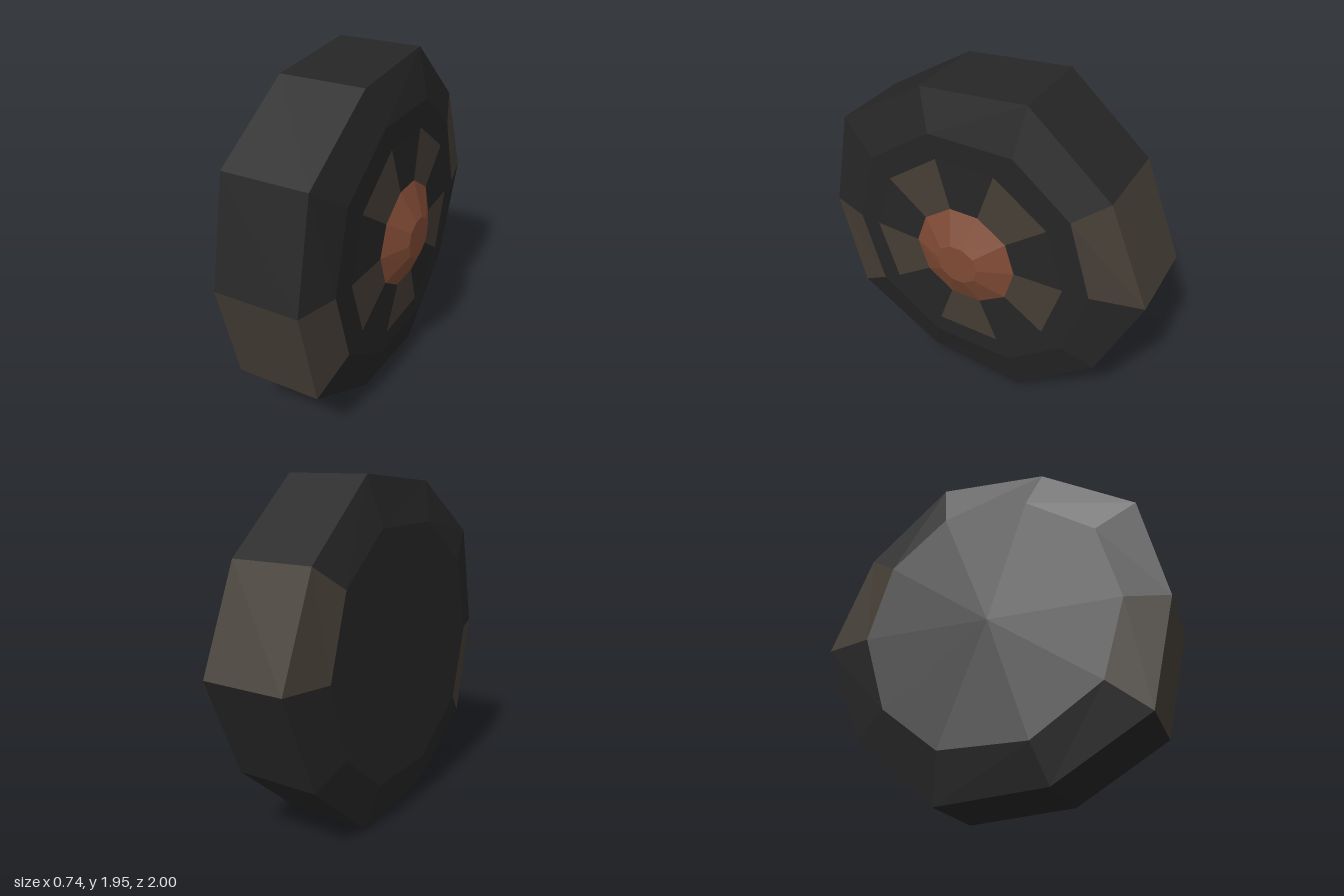
import * as THREE from 'three';

const mat = (name, color) => new THREE.MeshStandardMaterial({ name, color, flatShading: true, side: THREE.DoubleSide });

// Each outline lists [z, y] corners, running clockwise as seen from the hub side (+x).
const TREAD = [[0.33, 1.905], [-0.29, 1.955], [-0.76, 1.55], [-1, 0.98], [-0.76, 0.41],
  [-0.29, 0.003], [0.33, 0.055], [0.86, 0.377], [1, 0.98], [0.86, 1.583]];
const SIDE = [[0.25, 1.685], [-0.25, 1.685], [-0.58, 1.42], [-0.715, 0.98], [-0.58, 0.54],
  [-0.25, 0.275], [0.25, 0.275], [0.64, 0.54], [0.765, 0.98], [0.64, 1.42]];
const RIM = [[0.2, 1.555], [-0.15, 1.555], [-0.46, 1.33], [-0.57, 0.98], [-0.46, 0.62],
  [-0.17, 0.41], [0.22, 0.41], [0.515, 0.62], [0.63, 0.98], [0.515, 1.33]];
const CAP = [[0.11, 1.275], [-0.06, 1.275], [-0.23, 1.16], [-0.285, 0.98], [-0.23, 0.79],
  [-0.065, 0.685], [0.12, 0.685], [0.275, 0.79], [0.34, 0.98], [0.275, 1.16]];
const TIP = [[0.065, 1.09], [-0.01, 1.09], [-0.075, 1.05], [-0.095, 0.98], [-0.075, 0.905],
  [-0.01, 0.86], [0.065, 0.86], [0.13, 0.905], [0.15, 0.98], [0.13, 1.05]];

const ring = (outline, x) => outline.map(([z, y]) => [x, y, z]);
const point = (x, y, z) => Array.from({ length: 10 }, () => [x, y, z]);

// Flat facets between successive rings (ordered from +x to -x), keeping only the chosen segments.
function shell(name, material, rings, keep = () => true) {
  const pos = [];
  for (let r = 0; r < rings.length - 1; r++) {
    const a = rings[r], b = rings[r + 1];
    for (let i = 0; i < 10; i++) {
      if (!keep(i)) continue;
      const j = (i + 1) % 10;
      if (a[i] !== a[j] && String(a[i]) !== String(a[j])) pos.push(...a[i], ...a[j], ...b[j]);
      if (String(b[i]) !== String(b[j])) pos.push(...a[i], ...b[j], ...b[i]);
    }
  }
  const geo = new THREE.BufferGeometry();
  geo.setAttribute('position', new THREE.Float32BufferAttribute(pos, 3));
  geo.computeVertexNormals();
  const mesh = new THREE.Mesh(geo, material);
  mesh.name = name;
  return mesh;
}

export function createModel() {
  const rubber = mat('blackRubber', 0x262626);
  const mud = mat('dustyBrown', 0x453d35);
  const rust = mat('rustRed', 0x7f4a34);
  const group = new THREE.Group();
  group.name = 'wheel';

  // Tyre: bevelled ten-sided drum with two brown patches
  const tyre = [ring(SIDE, 0.26), ring(TREAD, 0.19), ring(TREAD, -0.3), ring(SIDE, -0.37)];
  const isPatch = (i) => i === 2 || i === 7;
  group.add(shell('tyre', rubber, tyre, (i) => !isPatch(i)));
  group.add(shell('tyrePatches', mud, tyre, isPatch));
  group.add(shell('outerSidewall', rubber, [point(0.26, 0.98, 0.02), ring(SIDE, 0.26)]));
  group.add(shell('innerSidewall', rubber, [ring(SIDE, -0.37), point(-0.37, 0.98, 0.02)]));

  // Hub disc: shallow cone with alternating spokes
  const hub = [ring(CAP, 0.286), ring(RIM, 0.273)];
  group.add(shell('hubSpokes', mud, hub, (i) => i % 2 === 1));
  group.add(shell('hubGaps', rubber, hub, (i) => i % 2 === 0));

  // Hub cap
  group.add(shell('hubCap', rust, [point(0.367, 0.98, 0.028), ring(TIP, 0.367), ring(CAP, 0.286)]));

  // Short axle joining the hub to the tyre
  const axle = new THREE.Mesh(new THREE.CylinderGeometry(0.07, 0.07, 0.03, 10), mud);
  axle.name = 'axle';
  axle.rotation.z = Math.PI / 2;
  axle.position.set(0.27, 0.98, 0.028);
  group.add(axle);
  return group;
}
